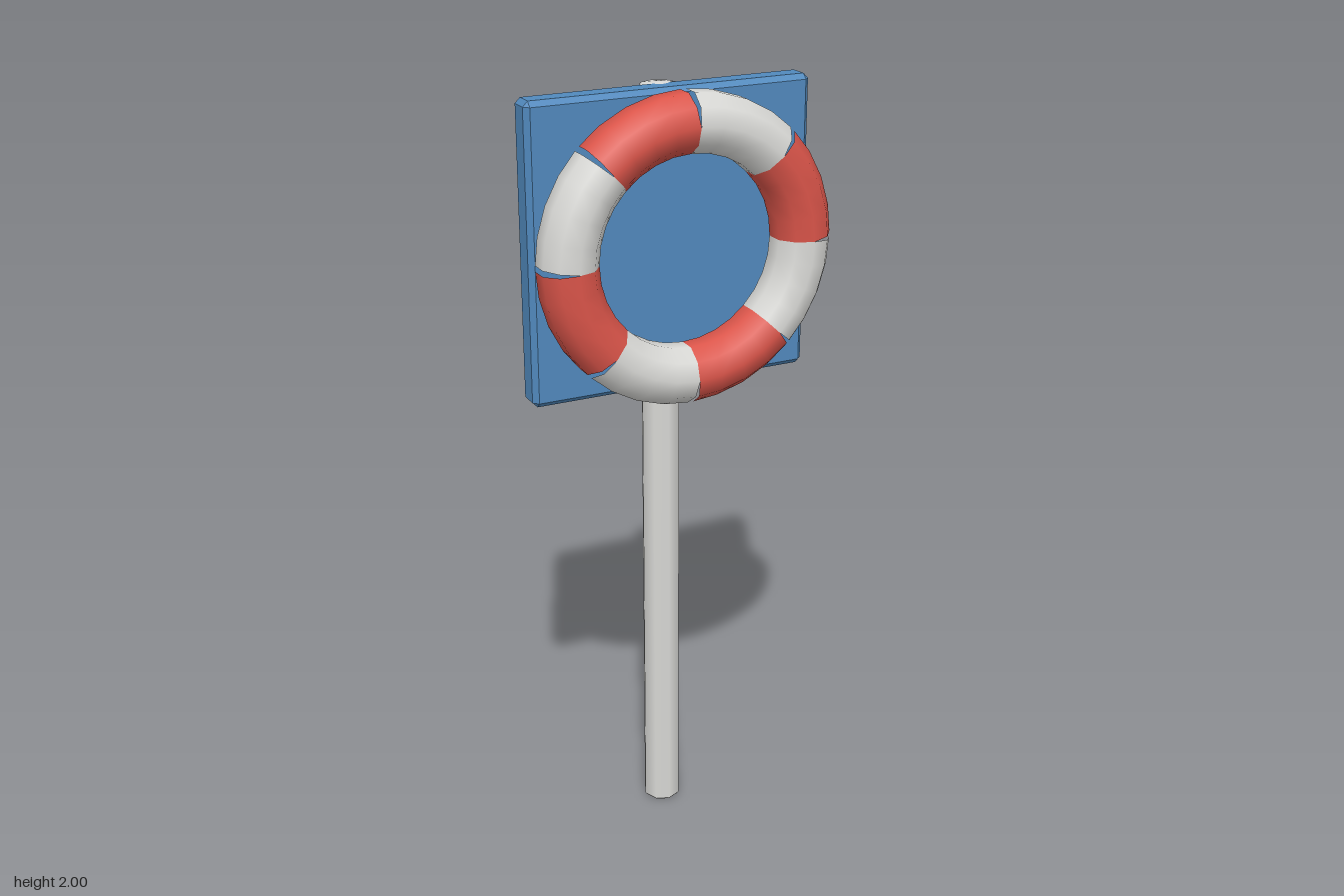
import * as THREE from 'three';
import { ConvexGeometry } from 'three/addons/geometries/ConvexGeometry.js';

const mat = (name, color) => {
  const m = new THREE.MeshStandardMaterial({ color });
  m.name = name;
  return m;
};

// box with a flat chamfer along every edge
function chamferBox(w, h, d, b) {
  const pts = [];
  for (const sx of [-1, 1]) for (const sy of [-1, 1]) for (const sz of [-1, 1])
    for (let full = 0; full < 3; full++) {
      const inset = (size, axis) => size / 2 - (axis === full ? 0 : b);
      pts.push(new THREE.Vector3(sx * inset(w, 0), sy * inset(h, 1), sz * inset(d, 2)));
    }
  return new ConvexGeometry(pts);
}

// open tube arc whose end rings stand square to the first and last chord,
// leaving a thin wedge between neighbouring segments
function ringSegment(R, r, start, arc, steps, sides) {
  const geo = new THREE.TorusGeometry(R, r, sides, steps, arc);
  const { position, normal, uv } = geo.attributes;
  const half = arc / steps / 2;
  for (let i = 0; i < position.count; i++) {
    const t = uv.getX(i);
    const a = start + t * arc;
    const tilt = t < 0.001 ? half : t > 0.999 ? -half : 0;
    const v = uv.getY(i) * Math.PI * 2 + Math.PI / sides;
    const nx = Math.cos(v) * Math.cos(a + tilt);
    const ny = Math.cos(v) * Math.sin(a + tilt);
    const nz = Math.sin(v);
    position.setXYZ(i, R * Math.cos(a) + r * nx, R * Math.sin(a) + r * ny, r * nz);
    normal.setXYZ(i, nx, ny, nz);
  }
  return geo;
}

export function createModel() {
  const model = new THREE.Group();
  model.name = 'lifebuoyStand';
  const blue = mat('boardBlue', 0x5189bd);
  const red = mat('buoyRed', 0xdb554a);
  const white = mat('paleGrey', 0xd9d9d6);

  const add = (name, geo, material, y, z, parent = model) => {
    const mesh = new THREE.Mesh(geo, material);
    mesh.name = name;
    mesh.position.set(0, y, z);
    parent.add(mesh);
  };

  // eight-sided post with softened ends
  const profile = [[0, 0], [0.045, 0], [0.05, 0.006], [0.05, 1.986], [0.045, 1.99], [0.025, 1.993], [0, 1.996]];
  add('post', new THREE.LatheGeometry(profile.map(p => new THREE.Vector2(...p)), 8), white, 0, -0.0875);

  // backing board
  add('board', chamferBox(0.746, 0.746, 0.073, 0.013), blue, 1.62, -0.0515);

  // ring of eight alternating segments
  const ring = new THREE.Group();
  ring.name = 'lifebuoy';
  ring.position.set(0, 1.619, 0.061);
  model.add(ring);
  const arc = Math.PI / 4;
  for (let k = 0; k < 8; k++)
    add('ringSegment' + (k + 1), ringSegment(0.31, 0.075, k * arc, arc, 4, 10), k % 2 ? white : red, 0, 0, ring);

  return model;
}
